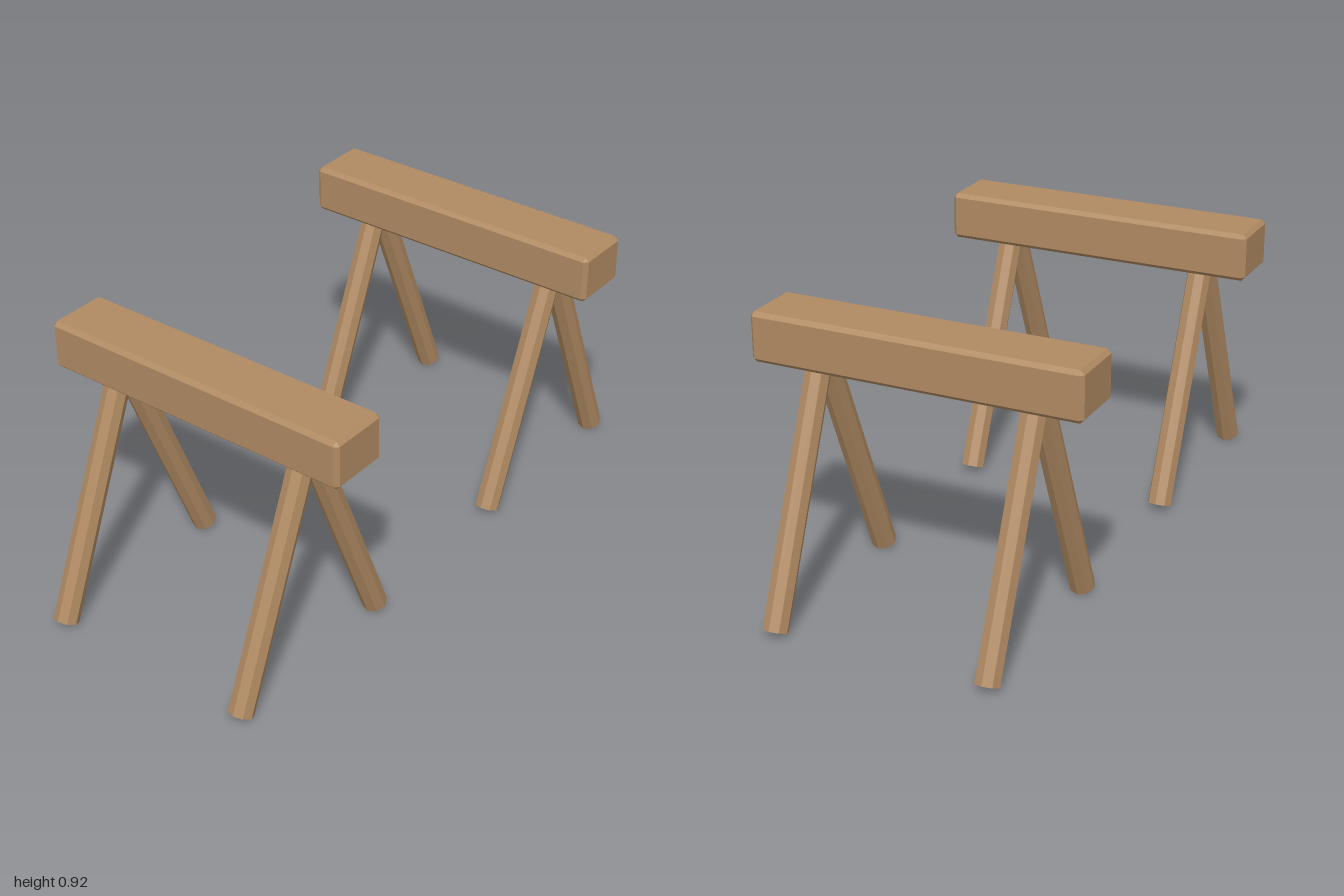
import * as THREE from 'three';
import { ConvexGeometry } from 'three/addons/geometries/ConvexGeometry.js';

// Box with one flat chamfer along every edge
function chamferedBox(w, h, d, c) {
  const points = [];
  for (const sx of [-1, 1]) for (const sy of [-1, 1]) for (const sz of [-1, 1]) {
    const x = w / 2, y = h / 2, z = d / 2;
    points.push(
      new THREE.Vector3(sx * x, sy * (y - c), sz * (z - c)),
      new THREE.Vector3(sx * (x - c), sy * y, sz * (z - c)),
      new THREE.Vector3(sx * (x - c), sy * (y - c), sz * z)
    );
  }
  return new ConvexGeometry(points);
}

export function createModel() {
  const model = new THREE.Group();
  model.name = 'sawhorsePair';

  const wood = new THREE.MeshStandardMaterial({ color: 0xb08a62 });
  wood.name = 'wood';
  wood.flatShading = true;

  const splay = THREE.MathUtils.degToRad(22.5);
  const legLength = 0.86;
  const beamGeometry = chamferedBox(0.204, 0.158, 1.066, 0.013);
  const legGeometry = new THREE.CylinderGeometry(0.04, 0.04, legLength, 8);
  legGeometry.translate(0, legLength / 2, 0); // pivot at the foot

  for (const side of [-1, 1]) {
    const trestle = new THREE.Group();
    trestle.name = side > 0 ? 'leftSawhorse' : 'rightSawhorse';
    trestle.position.x = side * 0.638;

    // Top beam
    const beam = new THREE.Mesh(beamGeometry, wood);
    beam.name = 'beam';
    beam.position.y = 0.836;
    trestle.add(beam);

    // Splayed legs, crossing just under the beam
    for (const z of [-0.35, 0.35]) for (const s of [-1, 1]) {
      const leg = new THREE.Mesh(legGeometry, wood);
      leg.name = (z > 0 ? 'front' : 'back') + (s > 0 ? 'Left' : 'Right') + 'Leg';
      leg.position.set(s * 0.325, 0.0153, z);
      leg.rotation.z = s * splay;
      trestle.add(leg);
    }
    model.add(trestle);
  }
  return model;
}
